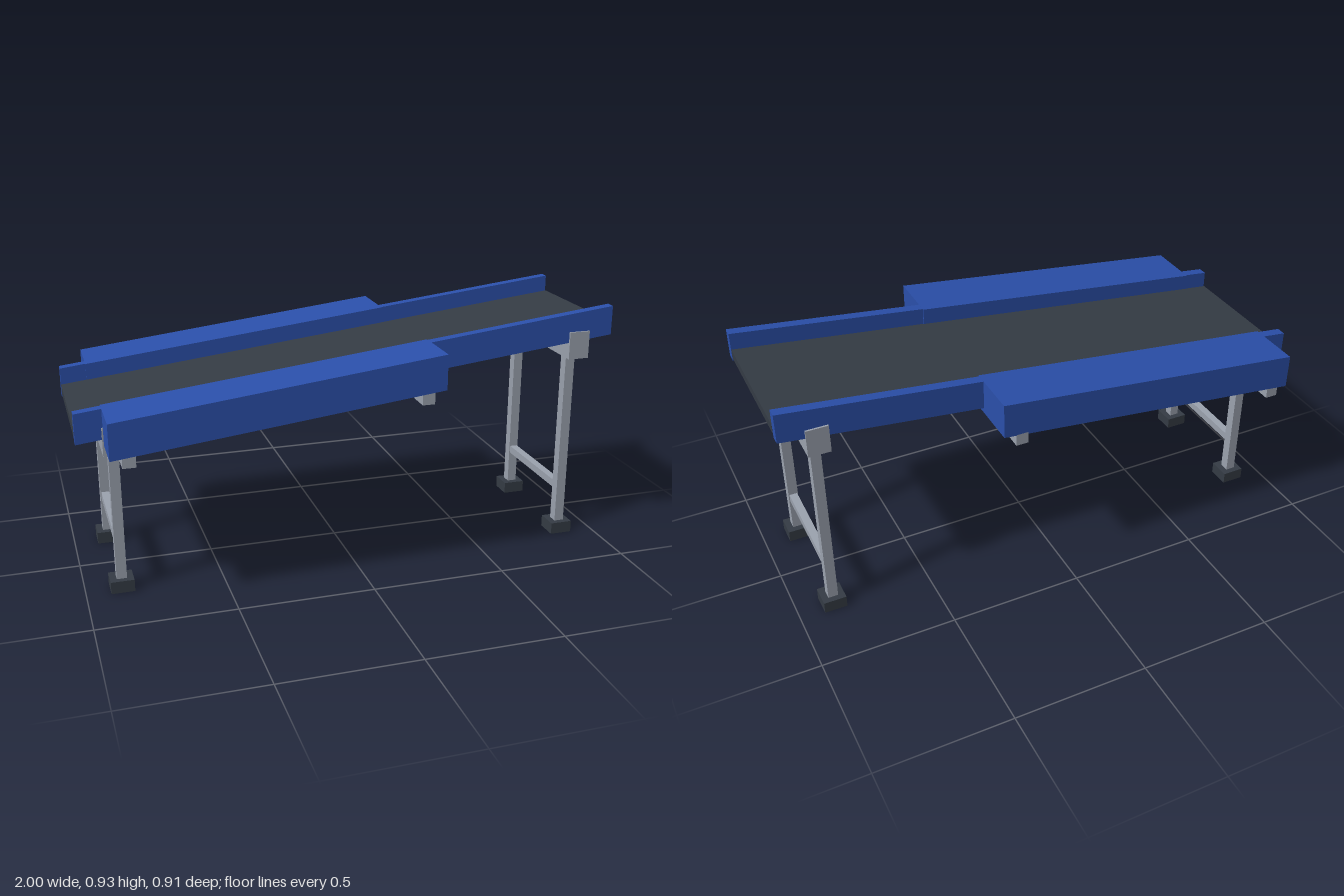
import * as THREE from 'three';

const SLOPE = 0.1135;

export function createModel() {
  const model = new THREE.Group();
  model.name = 'inclinedConveyor';
  const make = (name, color) => {
    const m = new THREE.MeshStandardMaterial({ color });
    m.name = name;
    return m;
  };
  const blue = make('bluePaint', 0x2b50ab);
  const steel = make('greySteel', 0x9ca3af);
  const dark = make('darkRubber', 0x353c45);

  const add = (name, geo, mat) => {
    const mesh = new THREE.Mesh(geo, mat);
    mesh.name = name;
    model.add(mesh);
    return mesh;
  };
  // Box given by its minimum and maximum on each axis
  const boxGeo = (x0, x1, y0, y1, z0, z1) =>
    new THREE.BoxGeometry(x1 - x0, y1 - y0, Math.abs(z1 - z0))
      .translate((x0 + x1) / 2, (y0 + y1) / 2, (z0 + z1) / 2);
  const box = (name, mat, ...b) => add(name, boxGeo(...b), mat);
  // Box sheared upward along x, keeping its ends vertical; heights are those at x = 0
  const slopedBox = (name, mat, ...b) => {
    const geo = boxGeo(...b);
    const p = geo.attributes.position;
    for (let i = 0; i < p.count; i++) p.setY(i, p.getY(i) + SLOPE * p.getX(i));
    geo.computeVertexNormals();
    return add(name, geo, mat);
  };

  // Belt
  slopedBox('belt', dark, -1, 1, 0.717, 0.752, -0.252, 0.252);

  // Foot: square block with a socket
  const footShape = new THREE.Shape();
  const square = (path, r) =>
    path.moveTo(-r, -r).lineTo(r, -r).lineTo(r, r).lineTo(-r, r).closePath();
  square(footShape, 0.0425);
  const socket = new THREE.Path();
  square(socket, 0.0185);
  footShape.holes.push(socket);
  const footGeo = new THREE.ExtrudeGeometry(footShape, { depth: 0.045, bevelEnabled: false })
    .rotateX(-Math.PI / 2);

  for (const s of [1, -1]) {
    // Side rail and wide side guard
    slopedBox('sideRail', blue, -1, 1, 0.704, 0.8135, s * 0.256, s * 0.293);
    slopedBox('sideGuard', blue, -0.905, 0.275, 0.684, 0.814, s * 0.25, s * 0.457);
    // Arms carrying the guard
    for (const [x, y] of [[0.207, 0.668], [-0.842, 0.552]])
      box('guardArm', steel, x - 0.023, x + 0.023, y, y + 0.044, s * 0.23, s * 0.457);
  }

  // Leg frames at the low and high ends
  for (const [x, beamY] of [[-0.87, 0.54], [0.867, 0.735]]) {
    box('crossBeam', steel, x - 0.04, x + 0.04, beamY, beamY + 0.08, -0.293, 0.293);
    box('legTieBar', steel, x - 0.015, x + 0.015, 0.175, 0.205, -0.2, 0.2);
    for (const s of [1, -1]) {
      box('beamEndPlate', steel, x - 0.04, x + 0.04, beamY, beamY + 0.104, s * 0.293, s * 0.3);
      box('leg', steel, x - 0.0185, x + 0.0185, 0.02, beamY, s * 0.2, s * 0.238);
      add('foot', footGeo, dark).position.set(x, 0, s * 0.218);
    }
  }
  return model;
}
